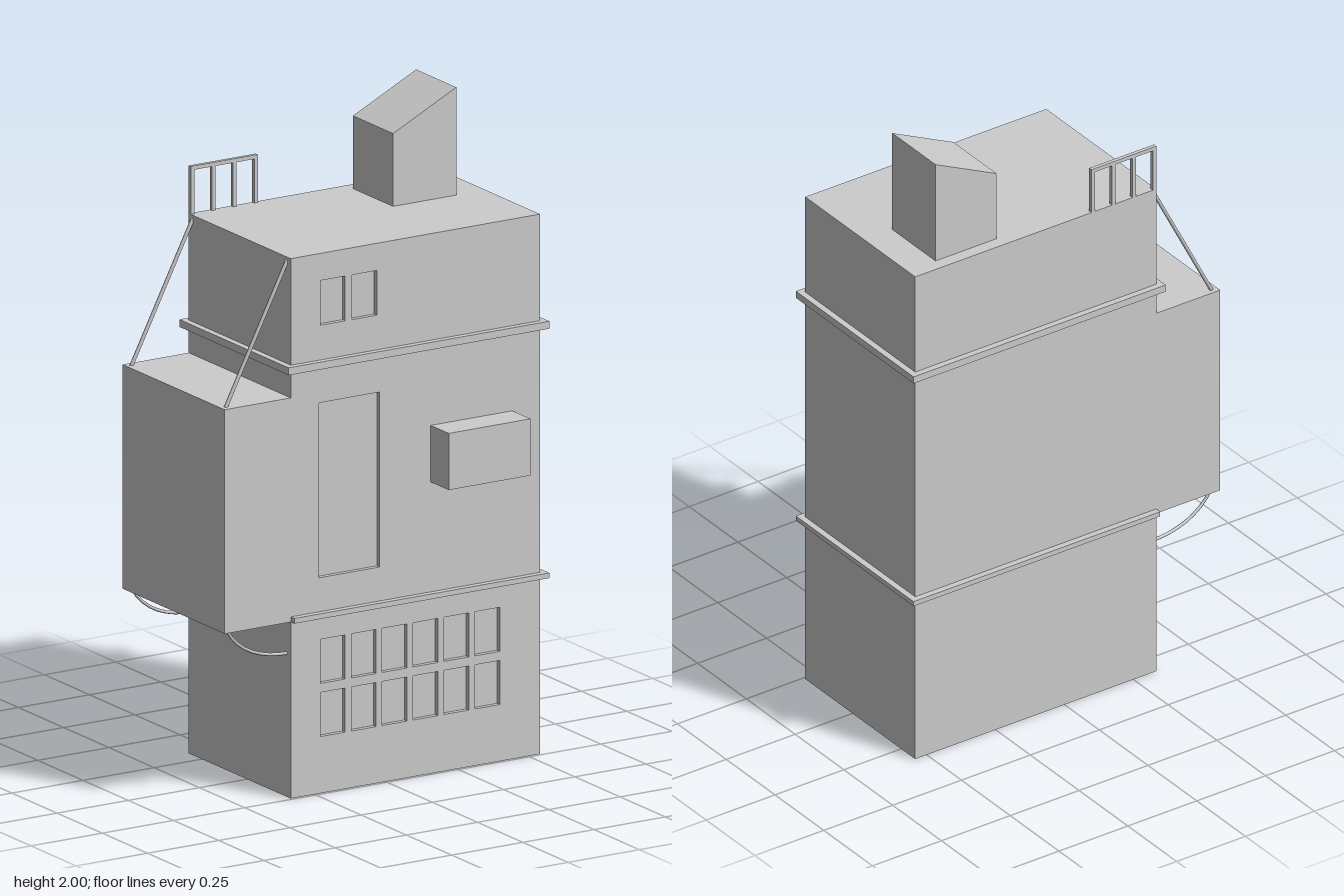
import * as THREE from 'three';

const material = new THREE.MeshStandardMaterial({ color: 0xcccccc });

function add(parent, name, geometry) {
  const mesh = new THREE.Mesh(geometry, material);
  mesh.name = name;
  parent.add(mesh);
  return mesh;
}

// Box given by its lower and upper corners
function box(parent, name, [x0, y0, z0], [x1, y1, z1]) {
  const mesh = add(parent, name, new THREE.BoxGeometry(x1 - x0, y1 - y0, z1 - z0));
  mesh.position.set((x0 + x1) / 2, (y0 + y1) / 2, (z0 + z1) / 2);
  return mesh;
}

const corners = (x0, y0, x1, y1) =>
  [[x0, y0], [x1, y0], [x1, y1], [x0, y1]].map(([x, y]) => new THREE.Vector2(x, y));

export function createModel() {
  const model = new THREE.Group();
  model.name = 'towerHouse';
  const L = -0.333, R = 0.542, B = -0.322, F = 0.242, TOP = 1.667, RECESS = 0.015;

  // Main block, with a front wall pierced by window and door recesses
  box(model, 'mainBlock', [L, 0, B], [R, TOP, F - RECESS]);
  const wall = new THREE.Shape(corners(L, 0, R, TOP));
  const opening = (x, y, w, h) => wall.holes.push(new THREE.Path(corners(x, y, x + w, y + h)));
  for (let i = 0; i < 6; i++) {
    for (const y of [0.175, 0.339]) opening(-0.229 + i * 0.1085, y, 0.087, 0.136);
  }
  for (const x of [-0.229, -0.118]) opening(x, 1.445, 0.087, 0.138);
  opening(-0.234, 0.666, 0.213, 0.54);
  const front = add(model, 'frontWall',
    new THREE.ExtrudeGeometry(wall, { depth: RECESS, bevelEnabled: false }));
  front.position.z = F - RECESS;

  // Overhanging side room and the box on the front wall
  box(model, 'sideRoom', [-0.565, 0.545, B], [L, 1.237, F]);
  box(model, 'wallUnit', [0.158, 0.9, F], [0.445, 1.075, 0.342]);

  // Ledges around the block
  box(model, 'upperLedge', [-0.353, 1.315, -0.342], [0.562, 1.338, 0.262]);
  box(model, 'lowerLedge', [L, 0.545, -0.342], [0.562, 0.561, 0.262]);

  // Chimney with a slanted top
  const profile = new THREE.Shape([[0.218, TOP], [0.44, TOP], [0.44, 2], [0.218, 1.892]]
    .map(([x, y]) => new THREE.Vector2(x, y)));
  const chimney = add(model, 'chimney',
    new THREE.ExtrudeGeometry(profile, { depth: 0.222, bevelEnabled: false }));
  chimney.position.z = -0.282;

  // Roof railing along the back edge
  const railing = new THREE.Group();
  railing.name = 'roofRailing';
  model.add(railing);
  for (let i = 0; i < 4; i++) {
    const x = L + i * 0.0743;
    box(railing, 'railPost', [x, TOP, B], [x + 0.012, 1.803, -0.31]);
  }
  box(railing, 'handrail', [L, 1.803, B], [-0.098, 1.815, -0.31]);

  // Stays above and curved braces below the side room, at both ends
  for (const z of [-0.303, 0.218]) {
    const a = new THREE.Vector3(-0.548, 1.232, z), b = new THREE.Vector3(-0.33, 1.657, z);
    add(model, 'stay', new THREE.TubeGeometry(new THREE.LineCurve3(a, b), 1, 0.006, 8));
    const bend = new THREE.CubicBezierCurve3(
      new THREE.Vector3(-0.545, 0.55, z), new THREE.Vector3(-0.51, 0.48, z),
      new THREE.Vector3(-0.43, 0.443, z), new THREE.Vector3(-0.33, 0.443, z));
    add(model, 'brace', new THREE.TubeGeometry(bend, 8, 0.005, 8));
  }
  return model;
}
